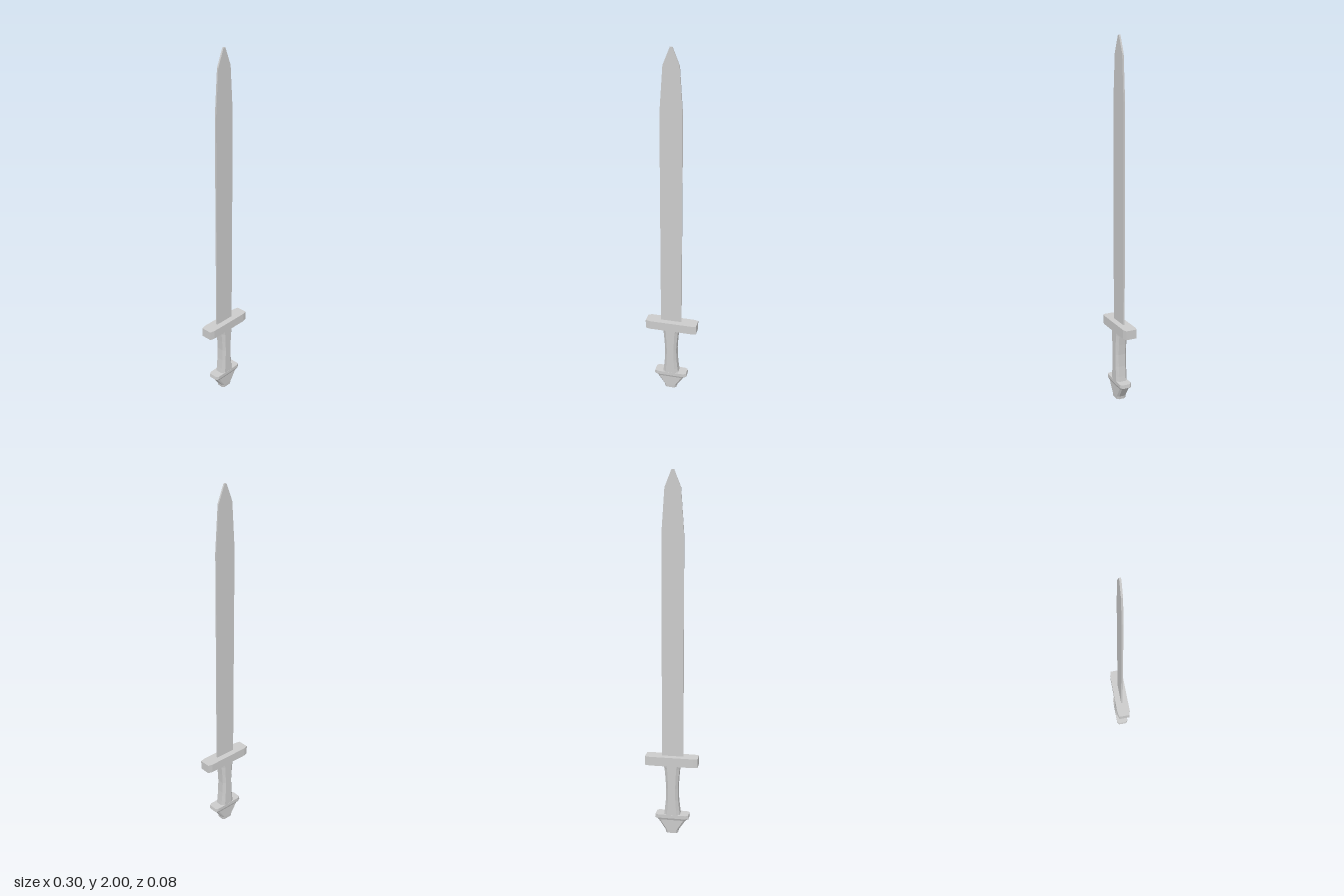
import * as THREE from 'three';

const material = new THREE.MeshStandardMaterial({ color: 0xcccccc, flatShading: true });

// Stack of eight-sided sections, each [y, halfX, halfZ, flatX, flatZ, centreX];
// flatX and flatZ are the half lengths left between the cut corners.
function loft(name, sections) {
  const rings = sections.map(([y, hx, hz, fx, fz, cx = 0]) =>
    [[hx, fz], [fx, hz], [-fx, hz], [-hx, fz], [-hx, -fz], [-fx, -hz], [fx, -hz], [hx, -fz]]
      .map(([x, z]) => [x + cx, y, z - 0.001]));
  const pos = [];
  const tri = (a, b, c) => pos.push(...a, ...b, ...c);
  for (let r = 0; r < rings.length - 1; r++) {
    const lo = rings[r], hi = rings[r + 1];
    for (let i = 0; i < 8; i++) {
      const j = (i + 1) % 8;
      tri(lo[i], hi[j], lo[j]);
      tri(lo[i], hi[i], hi[j]);
    }
  }
  const bottom = rings[0], top = rings[rings.length - 1];
  for (let i = 1; i < 7; i++) {
    tri(bottom[0], bottom[i], bottom[i + 1]);
    tri(top[0], top[i + 1], top[i]);
  }
  const geo = new THREE.BufferGeometry();
  geo.setAttribute('position', new THREE.Float32BufferAttribute(pos, 3));
  geo.computeVertexNormals();
  const mesh = new THREE.Mesh(geo, material);
  mesh.name = name;
  return mesh;
}

export function createModel() {
  const group = new THREE.Group();
  group.name = 'sword';

  // Thin flat blade narrowing in two steps to a blunt point
  const half = [[0.06, 0.45], [0.06, 1.67], [0.043, 1.91], [0.006, 2.0]];
  const outline = [...half, ...half.map(([x, y]) => [-x, y]).reverse()];
  const shape = new THREE.Shape(outline.map(([x, y]) => new THREE.Vector2(x - 0.004, y)));
  const bladeGeo = new THREE.ExtrudeGeometry(shape, { depth: 0.009, bevelEnabled: false });
  bladeGeo.translate(0, 0, -0.0055);
  const blade = new THREE.Mesh(bladeGeo, material);
  blade.name = 'blade';
  group.add(blade);

  // Crossguard with cut corners
  group.add(loft('crossguard', [
    [0.405, 0.148, 0.038, 0.122, 0.031],
    [0.456, 0.148, 0.038, 0.122, 0.031],
  ]));

  // Waisted grip, flaring where it meets the guard
  const gripProfile = [[0.105, 0.046], [0.14, 0.041], [0.2, 0.035], [0.27, 0.033],
    [0.33, 0.037], [0.385, 0.042], [0.4, 0.047], [0.41, 0.058]];
  group.add(loft('grip', gripProfile.map(([y, w]) => [y, w, 0.033, w * 0.6, 0.02, -0.003])));

  // Pommel: wide rim, tapering down to a small foot
  group.add(loft('pommel', [
    [0, 0.034, 0.027, 0.024, 0.016, -0.003],
    [0.018, 0.037, 0.028, 0.027, 0.018, -0.003],
    [0.08, 0.078, 0.029, 0.066, 0.021, -0.003],
    [0.092, 0.096, 0.034, 0.08, 0.025, -0.003],
    [0.112, 0.093, 0.034, 0.078, 0.025, -0.003],
  ]));

  return group;
}
